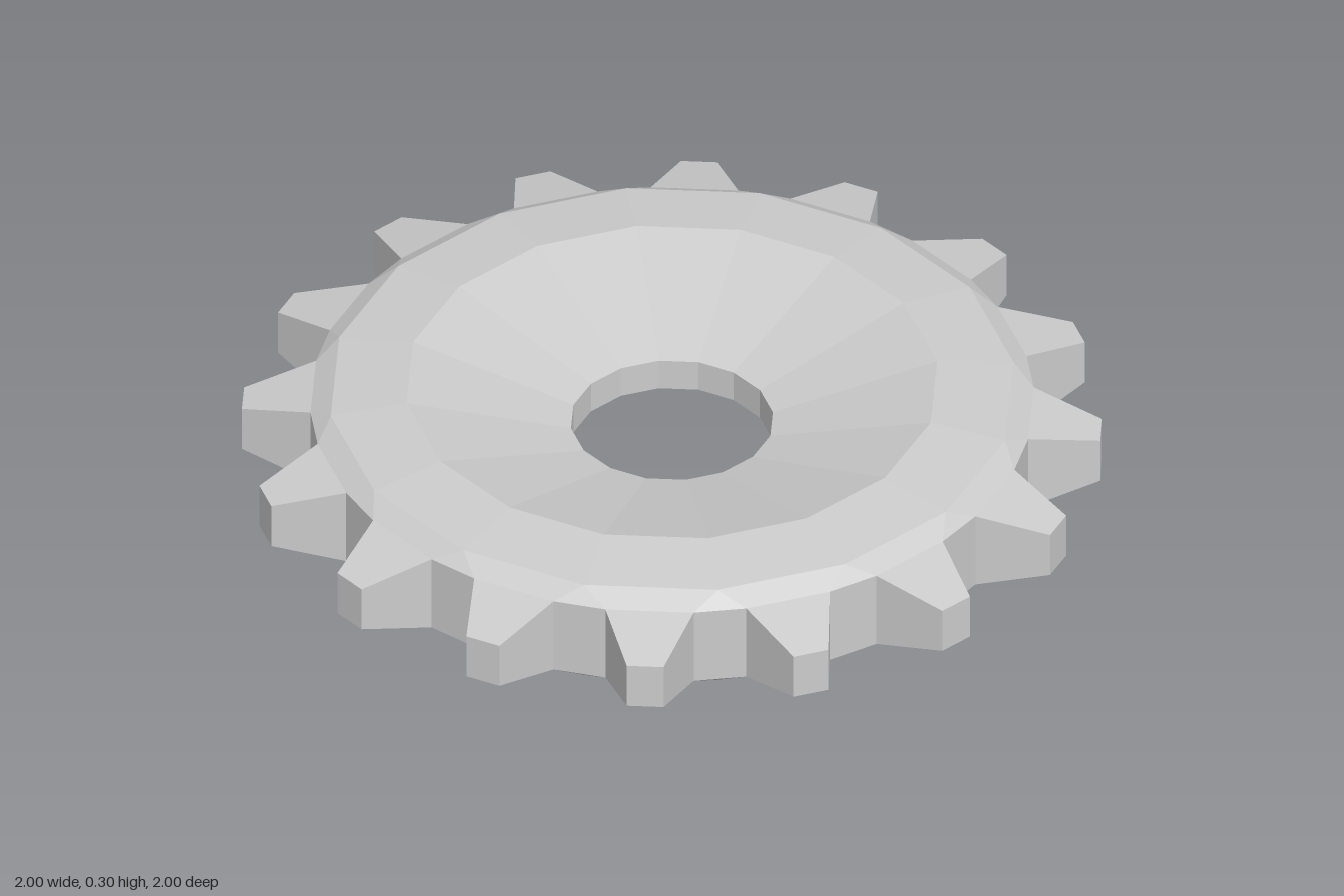
import * as THREE from 'three';

const TEETH = 16;
const STEP = 360 / TEETH;
const MID = 0.151;                              // half height of the wheel
const RING = { r: 0.81, h: 0.131 };             // outer edge of the dished body
const ROOT = { r: 0.852, h: 0.099, a: 4.25 };   // half-angle of each valley
const TIP = { r: 1.012, h: 0.058, a: 8.8 };     // angle from valley centre to tip corner

// Point at a radius, angle in degrees (0 = front) and height from the mid plane
function point(r, deg, h) {
  const t = THREE.MathUtils.degToRad(deg);
  return [r * Math.sin(t), MID + h, r * Math.cos(t)];
}

// Dished disc with a bored centre, open at the outer edge where the rim joins
function dishGeometry() {
  const upper = [[RING.r, RING.h], [0.63, MID], [0.24, 0.04]];
  const lower = upper.map(([r, h]) => [r, -h]).reverse();
  const profile = [...upper, ...lower].map(([r, h]) => new THREE.Vector2(r, MID + h));
  return new THREE.LatheGeometry(profile, TEETH);
}

// Bevelled rim with tapered teeth, one valley and one tooth per step
function rimGeometry() {
  const pos = [];
  const face = (...c) => {
    for (let i = 1; i < c.length - 1; i++) pos.push(...c[0], ...c[i], ...c[i + 1]);
  };
  for (let i = 0; i < TEETH; i++) {
    const a = i * STEP;
    const corners = (s) => ({
      A0: point(RING.r, a, s * RING.h),
      A1: point(RING.r, a + STEP, s * RING.h),
      R1: point(ROOT.r, a - ROOT.a, s * ROOT.h),
      R2: point(ROOT.r, a + ROOT.a, s * ROOT.h),
      R3: point(ROOT.r, a + STEP - ROOT.a, s * ROOT.h),
      T1: point(TIP.r, a + TIP.a, s * TIP.h),
      T2: point(TIP.r, a + STEP - TIP.a, s * TIP.h),
    });
    const up = corners(1), low = corners(-1);
    // bevel and tooth faces above and below
    for (const names of [['A0', 'R1', 'R2'], ['A0', 'R2', 'R3', 'A1'], ['R2', 'T1', 'T2', 'R3']]) {
      face(...names.map((n) => up[n]));
      face(...names.map((n) => low[n]).reverse());
    }
    // valley floor, tooth flanks and tooth tip
    for (const [p, q] of [['R1', 'R2'], ['R2', 'T1'], ['T1', 'T2'], ['T2', 'R3']]) {
      face(low[p], low[q], up[q], up[p]);
    }
  }
  const g = new THREE.BufferGeometry();
  g.setAttribute('position', new THREE.Float32BufferAttribute(pos, 3));
  g.computeVertexNormals();
  return g;
}

export function createModel() {
  const group = new THREE.Group();
  group.name = 'gearWheel';
  const material = new THREE.MeshStandardMaterial({ color: 0xcccccc, flatShading: true });
  const add = (name, geometry) => {
    const mesh = new THREE.Mesh(geometry, material);
    mesh.name = name;
    group.add(mesh);
  };
  add('dishedDisc', dishGeometry());
  add('toothedRim', rimGeometry());
  return group;
}
